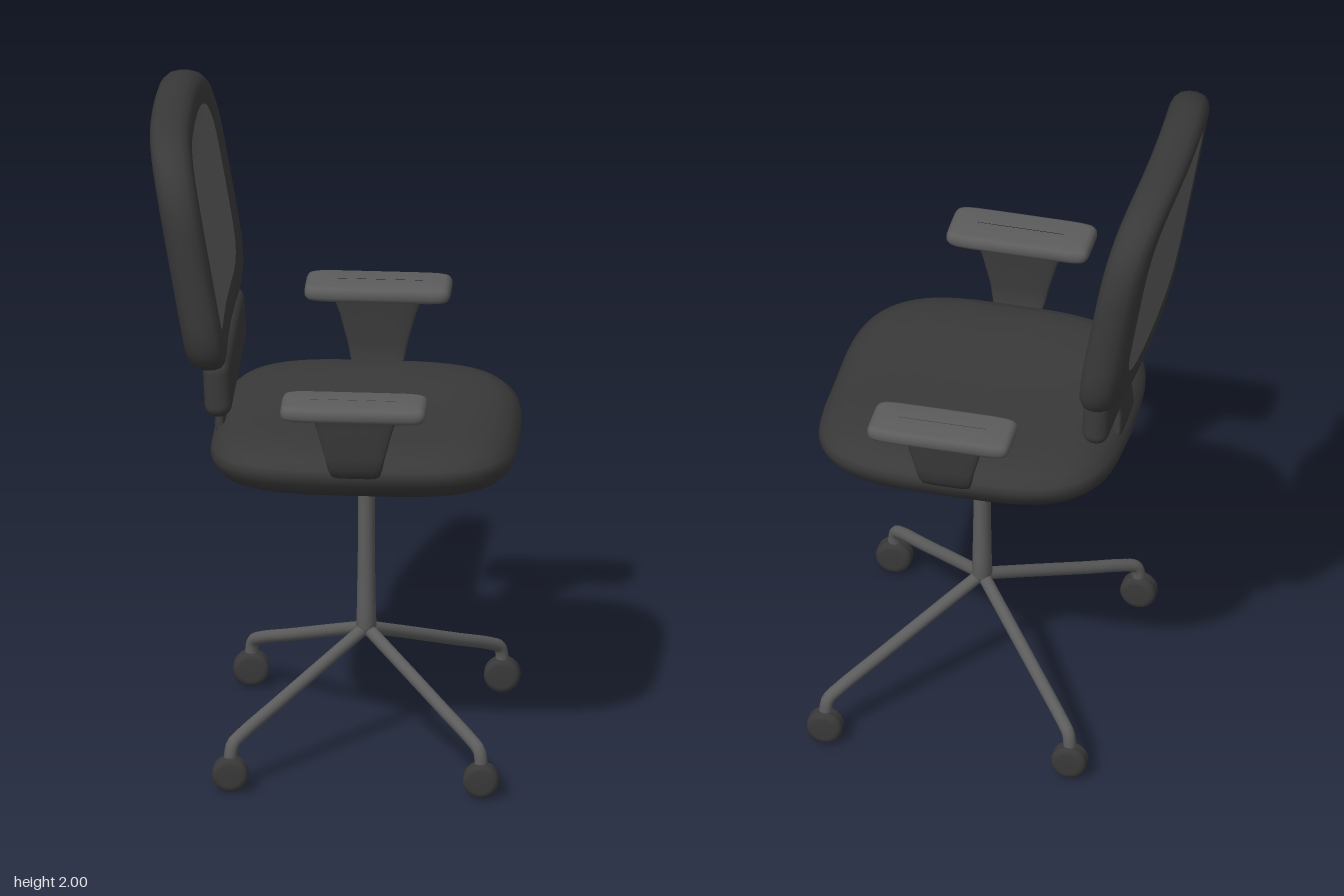
import * as THREE from 'three';
import { RoundedBoxGeometry } from 'three/addons/geometries/RoundedBoxGeometry.js';

const material = (color) => new THREE.MeshStandardMaterial({ color });

// Unit superellipse; nPos / nNeg set the corner squareness for sin > 0 / sin < 0.
function superellipse(angle, nPos, nNeg = nPos) {
  const c = Math.cos(angle), s = Math.sin(angle);
  const e = 2 / (s > 0 ? nPos : nNeg);
  return [Math.sign(c) * Math.abs(c) ** e, Math.sign(s) * Math.abs(s) ** e];
}

// Smooth skin over a list of rings; point(ring, angle) returns [x, y, z].
function loft(rings, point, segments = 56) {
  const positions = [], index = [];
  rings.forEach((ring, i) => {
    for (let j = 0; j < segments; j++) {
      positions.push(...point(ring, (j / segments) * Math.PI * 2));
      if (i === rings.length - 1) continue;
      const a = i * segments + j, b = i * segments + ((j + 1) % segments);
      index.push(a, a + segments, b, b, a + segments, b + segments);
    }
  });
  const geometry = new THREE.BufferGeometry();
  geometry.setAttribute('position', new THREE.Float32BufferAttribute(positions, 3));
  geometry.setIndex(index);
  geometry.computeVertexNormals();
  return geometry;
}

// Upright strip from rings of [y, centre x, centre z, half x, half z].
const strip = (rings, squareness = 4) => loft(rings, ([y, cx, cz, hx, hz], a) => {
  const [c, s] = superellipse(a, squareness);
  return [cx + hx * c, y, cz + hz * s];
}, 40);

// Point on the backrest: t runs from the outer outline (0) to the panel edge (1),
// scale shrinks the outline to its middle, depth is measured towards the front.
function backPoint(t, scale, depth, angle) {
  const [c, s] = superellipse(angle, 3.6, 5.5);
  const z = THREE.MathUtils.lerp(0.46, 0.34, t) * scale * c;
  const y = THREE.MathUtils.lerp(1.635, 1.645, t) + THREE.MathUtils.lerp(0.365, 0.275, t) * scale * s;
  return [-0.416 - 0.17 * (y - 1.6) + 0.13 * z * z + depth, y, z];
}

export function createModel() {
  const group = new THREE.Group();
  const dark = material(0x393939), mesh = material(0x5e5e5e), grey = material(0x5c5c5c);
  const add = (name, geometry, mat) => {
    const part = new THREE.Mesh(geometry, mat);
    part.name = name;
    group.add(part);
    return part;
  };

  // Seat cushion: rings of [scale, y, rise towards the sides]
  const seatRings = [
    [0.001, 0.828, 0.08], [0.35, 0.83, 0.08], [0.62, 0.84, 0.075], [0.8, 0.859, 0.065],
    [0.91, 0.884, 0.055], [0.975, 0.917, 0.05], [1, 0.95, 0.045], [0.985, 0.98, 0.035],
    [0.93, 1.01, 0.028], [0.84, 1.032, 0.023], [0.68, 1.044, 0.02], [0.4, 1.045, 0.02], [0.001, 1.042, 0.02],
  ];
  add('seat', loft(seatRings, ([scale, y, rise], a) => {
    const [c, s] = superellipse(a, 3.5);
    return [0.09 + 0.45 * scale * c, y + rise * Math.abs(scale * s) ** 1.25, 0.45 * scale * s];
  }), dark);

  // Backrest frame: section of [t, depth], open where the panels close it
  const section = [
    [1, -0.056], [0.7, -0.06], [0.4, -0.059], [0.2, -0.051], [0.06, -0.035], [0, -0.012],
    [0, 0.012], [0.06, 0.035], [0.2, 0.051], [0.4, 0.059], [0.7, 0.06], [1, 0.056],
  ];
  add('backrestFrame', loft(section, ([t, depth], a) => backPoint(t, 1, depth, a), 72), dark);

  // Backrest panels, slightly hollow: rings of [scale, depth] from middle to edge
  const panelRings = [[0.001, 0.05], [0.35, 0.05], [0.7, 0.052], [1, 0.056]];
  add('backrestRearPanel', loft(panelRings, ([scale, depth], a) => backPoint(1, scale, -depth, a), 72), mesh);
  add('backrestFrontPanel', loft(panelRings.toReversed(), ([scale, depth], a) => backPoint(1, scale, depth, a), 72), mesh);

  // Lumbar pad and the bracket that joins it to the seat
  const lumbar = add('lumbarPad', new RoundedBoxGeometry(0.08, 0.18, 0.66, 5, 0.038), dark);
  lumbar.position.set(-0.326, 1.212, 0);
  lumbar.rotation.z = 0.05;
  add('backBracket', strip([
    [0.93, -0.29, 0, 0.016, 0.08], [0.97, -0.325, 0, 0.017, 0.09], [1.01, -0.336, 0, 0.016, 0.085],
    [1.06, -0.334, 0, 0.016, 0.076], [1.11, -0.325, 0, 0.018, 0.075], [1.17, -0.32, 0, 0.02, 0.08],
  ]), dark);

  // Armrests: pad rings are [y, inset from the outline]
  const padRings = [[1.21, 0.082], [1.21, 0.018], [1.216, 0.006], [1.227, 0], [1.243, 0], [1.254, 0.006], [1.26, 0.018], [1.26, 0.082]];
  for (const side of [-1, 1]) {
    add('armrestPad', strip(padRings.map(([y, inset]) => [y, 0.09, side * 0.494, 0.214 - inset, 0.083 - inset]), 8), grey);
    add('armrestSupport', strip([
      [0.985, 0.09, side * 0.425, 0.055, 0.012], [1.005, 0.09, side * 0.446, 0.072, 0.014],
      [1.03, 0.09, side * 0.461, 0.08, 0.015], [1.07, 0.09, side * 0.469, 0.088, 0.015],
      [1.16, 0.09, side * 0.472, 0.112, 0.016], [1.195, 0.09, side * 0.474, 0.125, 0.017],
      [1.225, 0.09, side * 0.478, 0.142, 0.022],
    ]), dark);
  }

  // Column
  const columnProfile = [[0.001, 0.335], [0.022, 0.345], [0.03, 0.365], [0.028, 0.42], [0.025, 0.6], [0.025, 0.78], [0.028, 0.87]];
  const column = add('column', new THREE.LatheGeometry(columnProfile.map((p) => new THREE.Vector2(...p)), 24), grey);
  column.position.x = 0.09;
  column.scale.z = 1.2;

  // Four legs, each ending in a twin-tread caster
  const wheelProfile = [
    [0.001, -0.03], [0.034, -0.03], [0.045, -0.027], [0.052, -0.019], [0.054, -0.01],
    [0.05, 0], [0.054, 0.01], [0.052, 0.019], [0.045, 0.027], [0.034, 0.03], [0.001, 0.03],
  ].map((p) => new THREE.Vector2(...p));
  for (const sx of [-1, 1]) {
    for (const sz of [-1, 1]) {
      const path = new THREE.CatmullRomCurve3([
        [0, 0.36, 0], [0.12, 0.291, 0.14], [0.24, 0.221, 0.28], [0.335, 0.166, 0.392], [0.361, 0.145, 0.422], [0.367, 0.12, 0.429], [0.368, 0.07, 0.43],
      ].map(([x, y, z]) => new THREE.Vector3(0.09 + sx * x, y, sz * z)));
      add('leg', new THREE.TubeGeometry(path, 48, 0.019, 14), grey);
      const wheel = add('caster', new THREE.LatheGeometry(wheelProfile, 20), dark);
      wheel.rotation.x = Math.PI / 2;
      wheel.position.set(0.09 + sx * 0.368, 0.056, sz * 0.432);
    }
  }
  return group;
}
